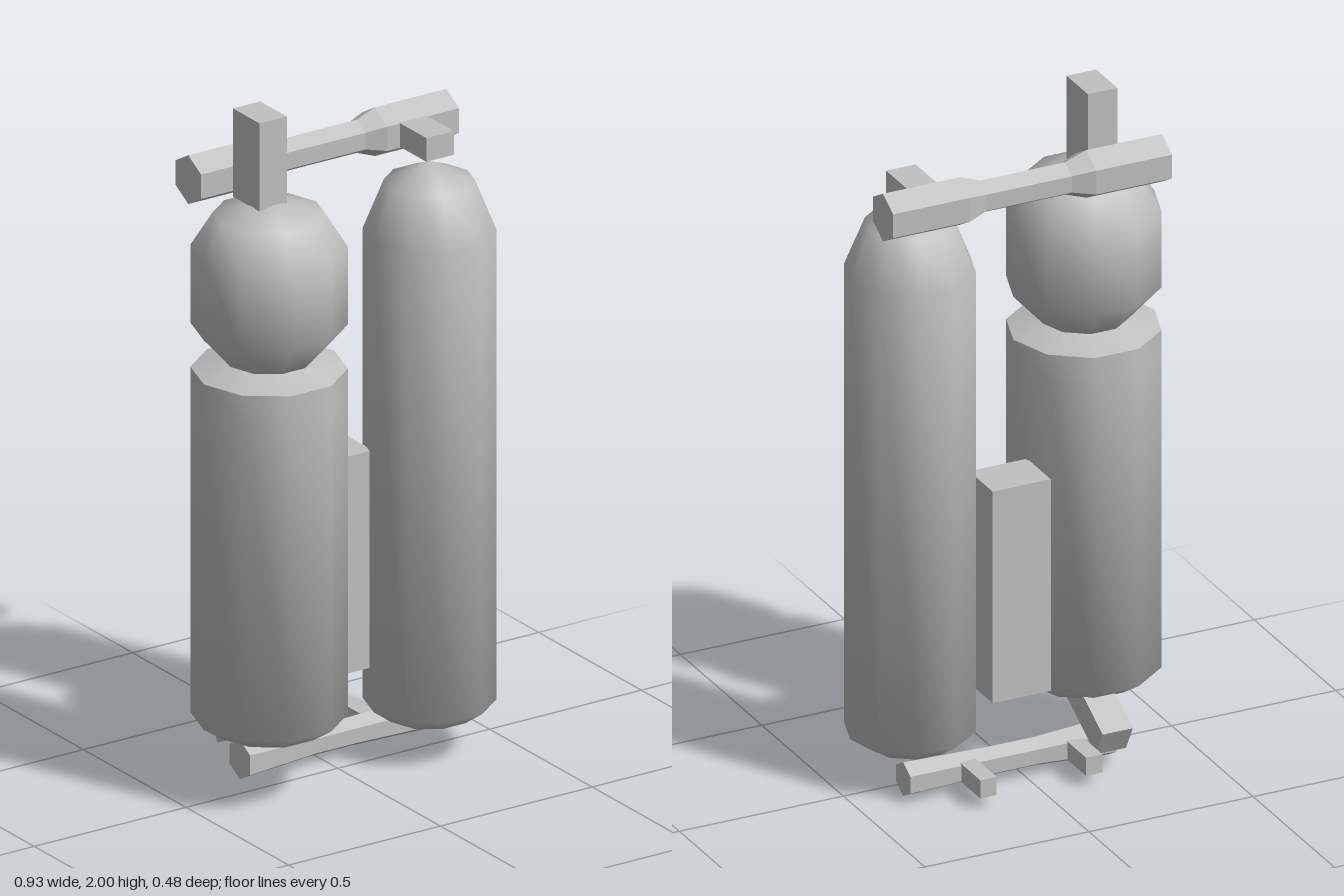
import * as THREE from 'three';
import { toCreasedNormals } from 'three/addons/utils/BufferGeometryUtils.js';

export function createModel() {
  const model = new THREE.Group();
  const grey = new THREE.MeshStandardMaterial({ color: 0xc0c0c0 });
  grey.name = 'grey metal';

  const add = (name, geometry, x, y, z) => {
    const mesh = new THREE.Mesh(geometry, grey);
    mesh.name = name;
    mesh.position.set(x, y, z);
    model.add(mesh);
    return mesh;
  };

  // Profile of [radius, height] turned around an axis, with a corner on the x axis
  const turned = (profile, sides, crease, sideways = false) => {
    const points = profile.map(([r, h]) => new THREE.Vector2(r, h));
    const g = new THREE.LatheGeometry(points, sides, Math.PI / 2);
    if (sideways) g.rotateZ(-Math.PI / 2);
    return toCreasedNormals(g, crease);
  };

  // Box given by its minimum and maximum corners
  const block = (name, [x0, y0, z0], [x1, y1, z1]) =>
    add(name, new THREE.BoxGeometry(x1 - x0, y1 - y0, z1 - z0),
      (x0 + x1) / 2, (y0 + y1) / 2, (z0 + z1) / 2);

  // Wide tank with a pinched neck
  add('waistedTank', turned([
    [0, 0.17], [0.155, 0.195], [0.215, 0.235], [0.215, 1.17], [0.215, 1.255],
    [0.125, 1.285], [0.215, 1.385], [0.215, 1.615], [0.155, 1.71], [0, 1.76],
  ], 10, 1.1), -0.25, 0, 0.035);

  // Slim straight tank
  add('slimTank', turned([
    [0, 0.085], [0.125, 0.113], [0.183, 0.155], [0.183, 1.54], [0.125, 1.685], [0, 1.74],
  ], 10, 1.1), 0.282, 0, 0.03);

  // Valve blocks on top of the tanks
  block('tallValve', [-0.305, 1.74, -0.06], [-0.215, 2, 0.07]);
  block('shortValve', [0.245, 1.76, -0.07], [0.335, 1.83, 0.07]);

  // Hexagonal bars with a narrowed middle
  add('upperBar', turned([
    [0, -0.41], [0.072, -0.41], [0.072, -0.18], [0.049, -0.115],
    [0.049, 0.145], [0.072, 0.205], [0.072, 0.44], [0, 0.44],
  ], 6, 0.05, true), 0, 1.793, -0.122);
  add('lowerBar', turned([
    [0, -0.265], [0.058, -0.265], [0.043, -0.04], [0.043, 0.1], [0.051, 0.36], [0, 0.36],
  ], 6, 0.05, true), 0, 0.061, -0.085);

  // Plate joining the tanks
  block('joiningPlate', [-0.055, 0.27, -0.155], [0.122, 0.91, -0.01]);

  // Pegs at the back of the lower bar
  for (const x of [-0.17, 0.152]) block('peg', [x, 0.035, -0.24], [x + 0.05, 0.09, -0.08]);

  // Slanted outlet under the waisted tank
  const outlet = add('slantedOutlet', new THREE.BoxGeometry(0.092, 0.088, 0.2), -0.217, 0.158, -0.131);
  outlet.rotation.x = -0.5;

  return model;
}
